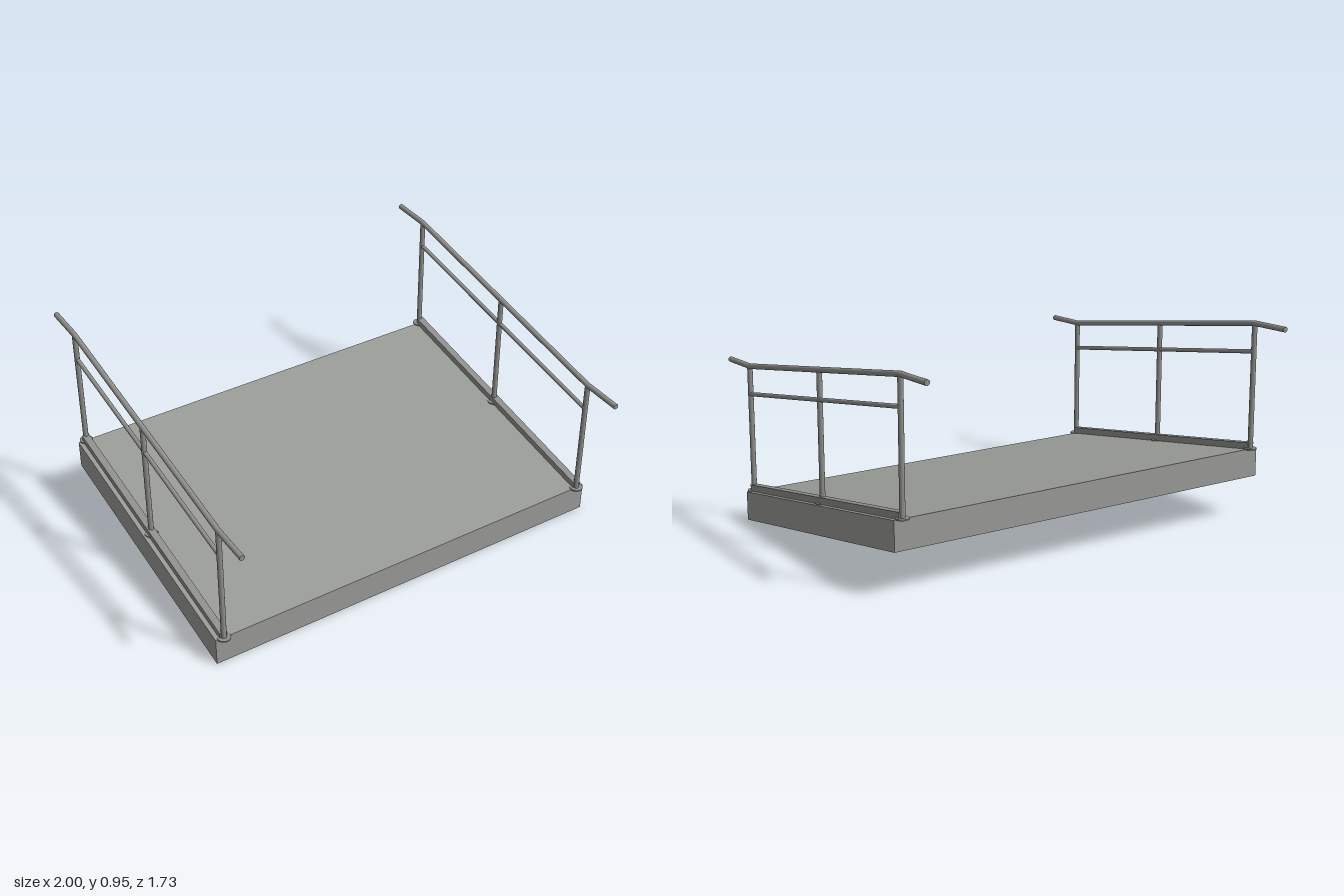
import * as THREE from 'three';

const SLOPE = 0.15, HALF = 0.667, RAIL_X = 0.96;
const deckY = z => 0.237 - SLOPE * z;

export function createModel() {
  const model = new THREE.Group();
  model.name = 'ramp';
  const concrete = new THREE.MeshStandardMaterial({ name: 'concrete grey', color: 0x999b97 });
  const steel = new THREE.MeshStandardMaterial({ name: 'steel grey', color: 0x8f8f8d });

  const add = (parent, name, geometry, material, x = 0, y = 0, z = 0) => {
    const mesh = new THREE.Mesh(geometry, material);
    mesh.name = name;
    mesh.position.set(x, y, z);
    parent.add(mesh);
    return mesh;
  };

  // Box sheared along the slope, keeping its ends vertical
  const slopedBox = (w, h, d) => {
    const g = new THREE.BoxGeometry(w, h, d);
    const p = g.attributes.position;
    for (let i = 0; i < p.count; i++) p.setY(i, p.getY(i) - SLOPE * p.getZ(i));
    g.computeVertexNormals();
    return g;
  };

  // Round bar between two points in the plane of a railing
  const bar = (parent, name, [z0, y0], [z1, y1], r) => {
    const a = new THREE.Vector3(0, y0, z0), b = new THREE.Vector3(0, y1, z1);
    const dir = b.clone().sub(a);
    const mesh = add(parent, name, new THREE.CylinderGeometry(r, r, dir.length(), 16), steel);
    mesh.position.copy(a).add(b).multiplyScalar(0.5);
    mesh.quaternion.setFromUnitVectors(new THREE.Vector3(0, 1, 0), dir.normalize());
  };

  // Sloping deck slab
  add(model, 'deck', slopedBox(2, 0.137, HALF * 2), concrete, 0, deckY(0) - 0.0685, 0);

  for (const side of [1, -1]) {
    const railing = new THREE.Group();
    railing.name = side > 0 ? 'leftRailing' : 'rightRailing';
    railing.position.x = side * RAIL_X;
    model.add(railing);

    // Low kerb along the deck edge
    add(railing, 'kerb', slopedBox(0.034, 0.032, HALF * 2), steel, side * 0.002, deckY(0) + 0.015, 0);

    // Posts on round base plates
    for (const z of [HALF, 0, -HALF]) {
      const y = deckY(z);
      add(railing, 'basePlate', new THREE.CylinderGeometry(0.031, 0.031, 0.006, 20), steel, 0, y + 0.002, z);
      bar(railing, 'post', [z, y], [z, y + 0.6], 0.0125);
    }

    // Handrail with level ends, joined by rounded bends
    const path = [[0.865, deckY(HALF) + 0.6], [HALF, deckY(HALF) + 0.6],
      [-HALF, deckY(-HALF) + 0.6], [-0.865, deckY(-HALF) + 0.6]];
    for (let i = 0; i < 3; i++) bar(railing, 'handrail', path[i], path[i + 1], 0.013);
    for (const [z, y] of path.slice(1, 3))
      add(railing, 'handrailBend', new THREE.SphereGeometry(0.013, 16, 10), steel, 0, y, z);

    // Lower rail
    bar(railing, 'midRail', [HALF, deckY(HALF) + 0.467], [-HALF, deckY(-HALF) + 0.467], 0.01);
  }
  return model;
}
